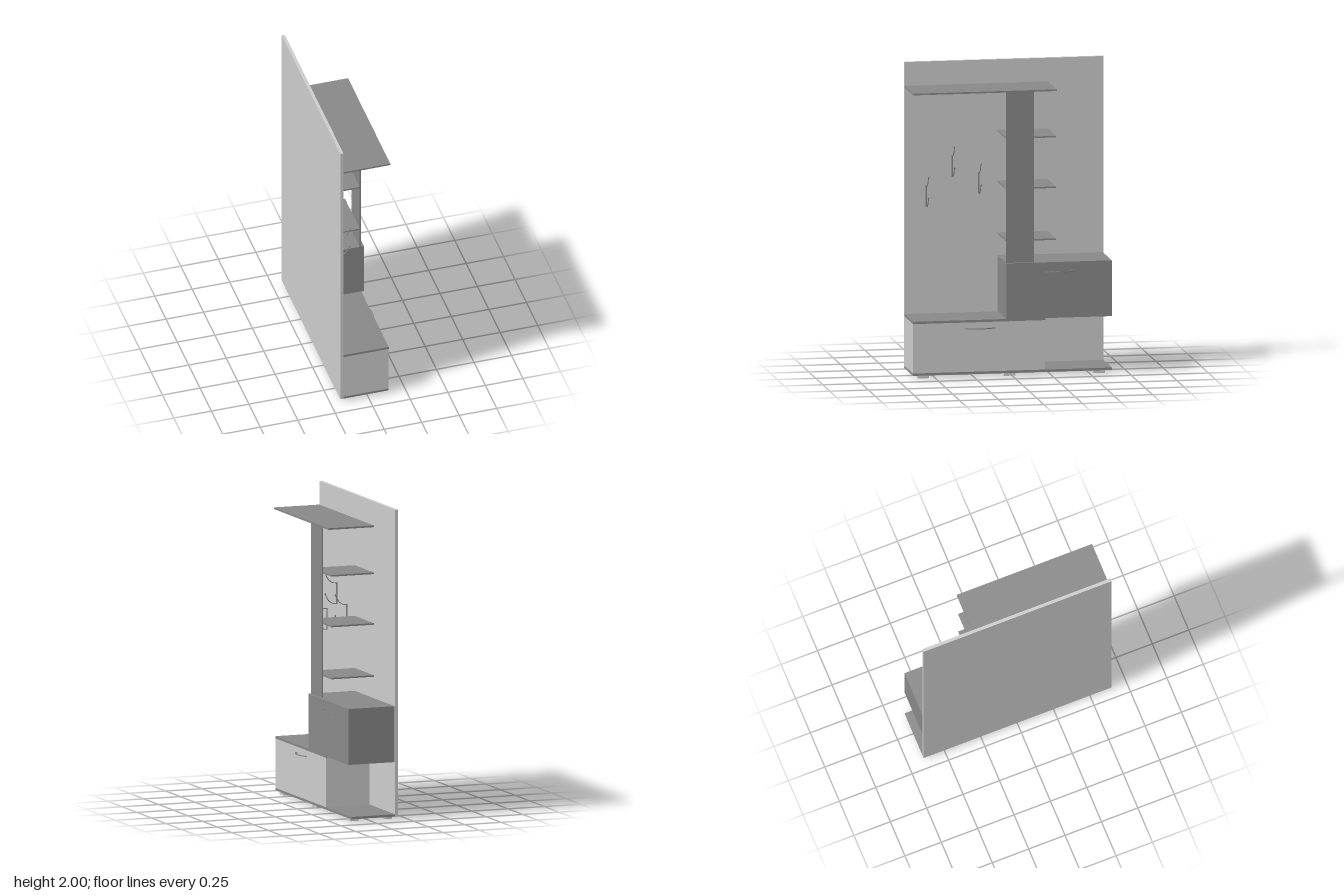
import * as THREE from 'three';

const light = new THREE.MeshStandardMaterial({ color: 0xcccccc });
const dark = new THREE.MeshStandardMaterial({ color: 0x888888 });

// Box given by its limits on each axis
function board(parent, name, mat, [x0, x1], [y0, y1], [z0, z1]) {
  const mesh = new THREE.Mesh(new THREE.BoxGeometry(x1 - x0, y1 - y0, z1 - z0), mat);
  mesh.position.set((x0 + x1) / 2, (y0 + y1) / 2, (z0 + z1) / 2);
  mesh.name = name;
  parent.add(mesh);
  return mesh;
}

// Flat bow handle: a thin arc with wedge feet, lying level
function handle(name, x, y, z) {
  const s = new THREE.Shape();
  s.moveTo(0, -0.1);
  s.quadraticCurveTo(0.06, 0, 0, 0.1);
  s.lineTo(0, 0.062);
  s.lineTo(0.016, 0.062);
  s.quadraticCurveTo(0.039, 0, 0.016, -0.062);
  s.lineTo(0, -0.062);
  s.closePath();
  const geo = new THREE.ExtrudeGeometry(s, { depth: 0.006, bevelEnabled: false, curveSegments: 16 });
  geo.rotateX(Math.PI / 2);
  const mesh = new THREE.Mesh(geo, dark);
  mesh.position.set(x, y + 0.003, z);
  mesh.name = name;
  return mesh;
}

// Wall plate carrying two curved prongs with ball tips
function coatHook(y, z) {
  const g = new THREE.Group();
  g.name = 'coatHook';
  board(g, 'hookPlate', dark, [-0.005, 0.006], [0, 0.14], [-0.004, 0.004]);
  const curve = new THREE.CubicBezierCurve3(
    new THREE.Vector3(0, 0, 0), new THREE.Vector3(0.045, -0.002, 0),
    new THREE.Vector3(0.065, 0.02, 0), new THREE.Vector3(0.083, 0.067, 0));
  for (const h of [0.003, 0.137]) {
    const prong = new THREE.Mesh(new THREE.TubeGeometry(curve, 14, 0.003, 6), dark);
    prong.position.y = h;
    prong.name = 'hookProng';
    const tip = new THREE.Mesh(new THREE.SphereGeometry(0.006, 10, 8), dark);
    tip.position.set(0.083, h + 0.067, 0);
    tip.name = 'hookTip';
    g.add(prong, tip);
  }
  g.position.set(-0.163, y, z);
  return g;
}

// Hollow rectangular foot
function foot(x, z) {
  const rect = (p, w, d) => {
    p.moveTo(-w, -d); p.lineTo(w, -d); p.lineTo(w, d); p.lineTo(-w, d); p.closePath();
    return p;
  };
  const s = rect(new THREE.Shape(), 0.027, 0.037);
  s.holes.push(rect(new THREE.Path(), 0.018, 0.027));
  const geo = new THREE.ExtrudeGeometry(s, { depth: 0.02, bevelEnabled: false });
  geo.rotateX(-Math.PI / 2);
  const mesh = new THREE.Mesh(geo, light);
  mesh.position.set(x, 0, z);
  mesh.name = 'foot';
  return mesh;
}

export function createModel() {
  const g = new THREE.Group();
  g.name = 'hallwayUnit';
  const back = -0.164;

  board(g, 'backPanel', light, [-0.185, back], [0.02, 2], [-0.645, 0.645]);

  // Bench cabinet on a long plinth
  board(g, 'plinthBoard', dark, [back, 0.137], [0.02, 0.035], [-0.645, 0.645]);
  board(g, 'benchCabinet', light, [back, 0.136], [0.035, 0.355], [-0.21, 0.645]);
  board(g, 'benchTop', dark, [back, 0.138], [0.355, 0.37], [-0.213, 0.645]);
  g.add(handle('benchHandle', 0.135, 0.315, 0.21));

  // Upper drawer cabinet
  board(g, 'drawerCabinet', dark, [back, 0.155], [0.371, 0.732], [-0.64, 0.042]);
  g.add(handle('drawerHandle', 0.154, 0.67, -0.3));

  // Upright and shelves
  board(g, 'upright', dark, [0.127, 0.136], [0.732, 1.836], [-0.14, 0.042]);
  for (const y of [0.875, 1.211, 1.538]) {
    board(g, 'shelf', dark, [back, 0.127], [y - 0.005, y + 0.005], [-0.283, 0.042]);
  }
  board(g, 'hatShelf', dark, [back, 0.148], [1.836, 1.847], [-0.285, 0.645]);

  // Coat hooks
  for (const [y, z] of [[1.06, 0.505], [1.25, 0.337], [1.135, 0.165]]) g.add(coatHook(y, z));

  // Feet
  for (const z of [-0.565, 0.015, 0.575]) g.add(foot(0.097, z));
  for (const z of [-0.565, 0.575]) g.add(foot(-0.135, z));

  return g;
}
